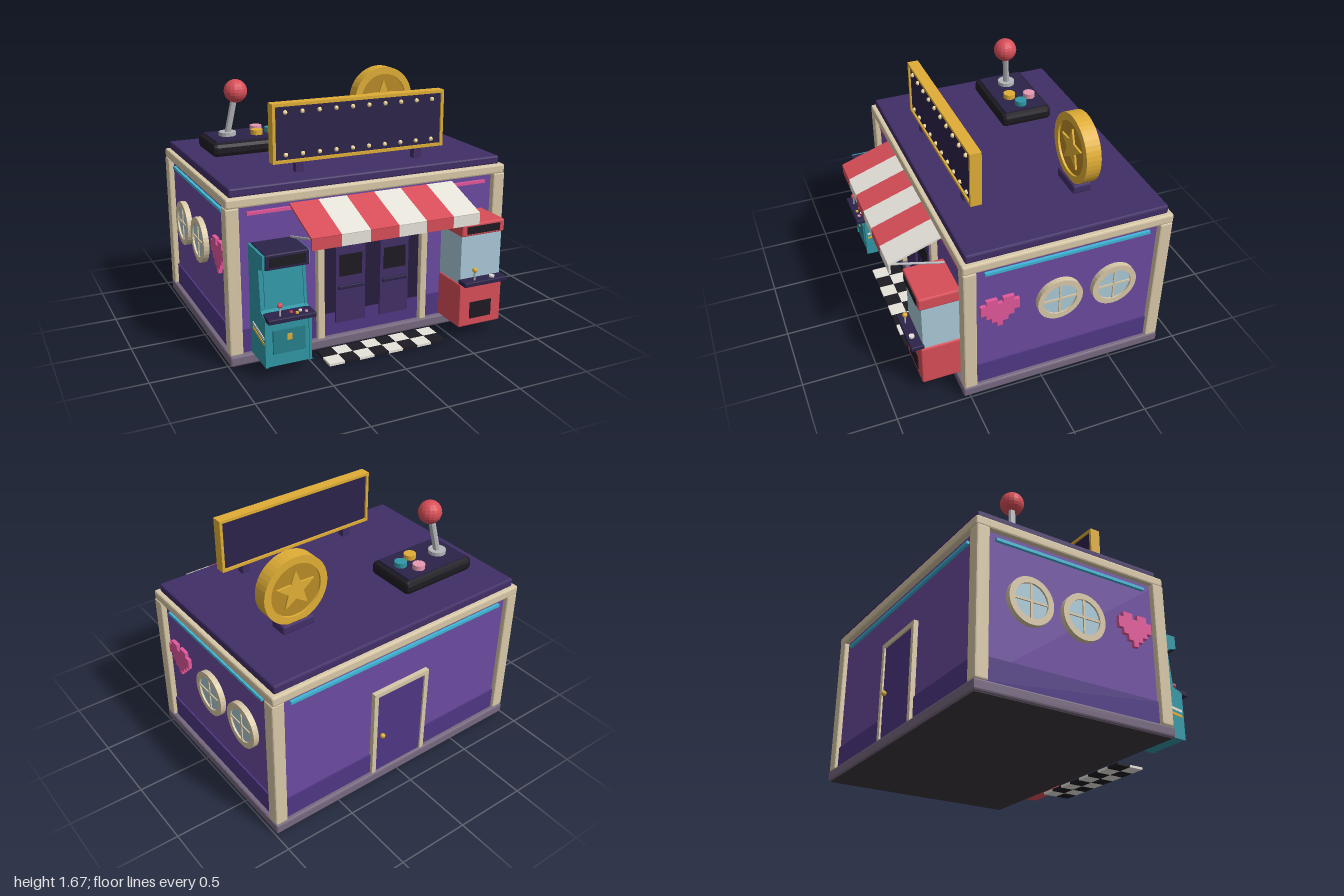
import * as THREE from 'three';
import { RoundedBoxGeometry } from 'three/addons/geometries/RoundedBoxGeometry.js';

const C = {
  wall: 0x6b4aa0, dado: 0x4f3784, roof: 0x412e66, navy: 0x2c2349, night: 0x271d3d, black: 0x1d1b22,
  cream: 0xd8c8a8, base: 0x76687f, under: 0x3c363f, red: 0xd84e58, white: 0xe6e3da, teal: 0x2f97a5,
  darkTeal: 0x27808c, glass: 0xa9c9d8, gold: 0xe0ae36, darkGold: 0xb98a25, pink: 0xe2589a,
  softPink: 0xe79ab2, cyan: 0x3fb6d6, steel: 0xb4b6ba, bulb: 0xf5dfa0,
};

const mats = {};
const mat = (c) => (mats[c] ??= new THREE.MeshStandardMaterial({ color: c, flatShading: true }));

function add(parent, name, geo, color, x = 0, y = 0, z = 0) {
  const m = new THREE.Mesh(geo, mat(color));
  m.name = name;
  m.position.set(x, y, z);
  parent.add(m);
  return m;
}

// Box given by its limits on each axis, with an optional chamfer
function box(parent, name, color, [x0, x1], [y0, y1], [z0, z1], bevel = 0) {
  const s = [x1 - x0, y1 - y0, z1 - z0];
  const geo = bevel ? new RoundedBoxGeometry(...s, 1, bevel) : new THREE.BoxGeometry(...s);
  return add(parent, name, geo, color, (x0 + x1) / 2, (y0 + y1) / 2, (z0 + z1) / 2);
}

function rod(parent, name, color, a, b, r) {
  const p = new THREE.Vector3(...a), q = new THREE.Vector3(...b), d = q.clone().sub(p);
  const m = add(parent, name, new THREE.CylinderGeometry(r, r, d.length(), 8), color);
  m.position.copy(p).add(q).multiplyScalar(0.5);
  m.quaternion.setFromUnitVectors(new THREE.Vector3(0, 1, 0), d.normalize());
}

const ball = (p, name, color, r, x, y, z, n = 8) =>
  add(p, name, new THREE.SphereGeometry(r, n, Math.ceil(n * 0.7)), color, x, y, z);
const puck = (p, name, color, r, h, x, y, z, n = 12) =>
  add(p, name, new THREE.CylinderGeometry(r, r, h, n), color, x, y, z);

function group(parent, name) {
  const g = new THREE.Group();
  g.name = name;
  parent.add(g);
  return g;
}

function ring(outer, inner, depth, n) {
  const s = new THREE.Shape().absarc(0, 0, outer, 0, Math.PI * 2);
  s.holes.push(new THREE.Path().absarc(0, 0, inner, 0, Math.PI * 2, true));
  return new THREE.ExtrudeGeometry(s, { depth, bevelEnabled: false, curveSegments: n }).translate(0, 0, -depth / 2);
}

function building(root) {
  const g = group(root, 'building');
  box(g, 'plinth', C.base, [-0.995, 0.995], [0.01, 0.08], [-0.87, 0.545], 0.012);
  box(g, 'underside', C.under, [-0.98, 0.98], [0.006, 0.03], [-0.855, 0.53]);
  box(g, 'walls', C.wall, [-0.955, 0.955], [0.08, 1.05], [-0.83, 0.5]);
  box(g, 'wallBand', C.dado, [-0.965, 0.965], [0.08, 0.235], [-0.84, 0.51]);
  for (const x of [-0.95, 0.95]) for (const z of [-0.82, 0.495])
    box(g, 'cornerPost', C.cream, [x - 0.044, x + 0.044], [0.08, 1.045], [z - 0.044, z + 0.044], 0.01);
  box(g, 'cornice', C.cream, [-0.99, 0.99], [1.04, 1.105], [-0.868, 0.54], 0.012);
  box(g, 'roof', C.roof, [-0.96, 0.96], [1.1, 1.16], [-0.84, 0.51], 0.012);
  // Neon tubes
  box(g, 'frontNeon', C.pink, [-0.85, 0.85], [0.983, 1.003], [0.5, 0.52]);
  box(g, 'backNeon', C.cyan, [-0.85, 0.85], [0.983, 1.003], [-0.85, -0.83]);
  for (const s of [-1, 1]) box(g, 'sideNeon', C.cyan, [s * 0.965 - 0.01, s * 0.965 + 0.01], [0.983, 1.003], [-0.72, 0.39]);
  // Front entrance
  box(g, 'doorway', C.night, [-0.35, 0.35], [0.235, 0.84], [0.49, 0.508]);
  for (const s of [-1, 1]) {
    box(g, 'doorPost', C.cream, [s * 0.375 - 0.024, s * 0.375 + 0.024], [0.08, 0.86], [0.49, 0.545], 0.006);
    const x = s * 0.16;
    box(g, 'swingDoor', C.roof, [x - 0.105, x + 0.105], [0.165, 0.72], [0.505, 0.526]);
    box(g, 'doorPane', C.black, [x - 0.08, x + 0.08], [0.488, 0.635], [0.52, 0.531]);
    box(g, 'pushBar', C.navy, [x - 0.092, x + 0.092], [0.4, 0.424], [0.52, 0.543], 0.004);
  }
  box(g, 'doorLintel', C.cream, [-0.4, 0.4], [0.84, 0.88], [0.49, 0.54], 0.006);
  // Back door
  box(g, 'backDoor', C.dado, [-0.2, 0.2], [0.08, 0.72], [-0.85, -0.82]);
  for (const s of [-1, 1]) box(g, 'backDoorJamb', C.cream, [s * 0.21 - 0.016, s * 0.21 + 0.016], [0.08, 0.75], [-0.862, -0.82]);
  box(g, 'backDoorHead', C.cream, [-0.194, 0.194], [0.718, 0.75], [-0.862, -0.82]);
  ball(g, 'backDoorKnob', C.gold, 0.018, 0.15, 0.38, -0.865);
}

// Pixel heart and round windows, built facing +z and turned to each side
function sideDecor(root, s) {
  const g = group(root, s > 0 ? 'leftSideDecor' : 'rightSideDecor');
  g.position.x = s * 0.96;
  g.rotation.y = s * Math.PI / 2;
  const rows = ['0110110', '1111111', '1111111', '0111110', '0011100', '0001000'], c = 0.037;
  rows.forEach((row, j) => {
    const a = row.indexOf('1'), parts = j ? [[a, 7 - a]] : [[1, 3], [4, 6]];
    for (const [p, q] of parts) {
      const x0 = -s * 0.293 + (p - 3.5) * c;
      box(g, 'heart', C.pink, [x0, x0 + (q - p) * c], [0.778 - (j + 1) * c, 0.778 - j * c], [-0.005, 0.02]);
    }
  });
  for (const z of [-0.11, -0.49]) {
    const w = group(g, 'roundWindow');
    w.position.set(-s * z, 0.645, 0.01);
    add(w, 'windowFrame', ring(0.155, 0.115, 0.045, 16), C.cream);
    puck(w, 'windowGlass', C.glass, 0.118, 0.02, 0, 0, 0, 16).rotation.x = Math.PI / 2;
    box(w, 'mullion', C.cream, [-0.115, 0.115], [-0.007, 0.007], [0, 0.018]);
    box(w, 'mullion', C.cream, [-0.007, 0.007], [-0.115, 0.115], [0, 0.018]);
  }
}

function awning(root) {
  const g = group(root, 'awning'), w = 1.16 / 6;
  const len = Math.hypot(0.345, 0.12), tilt = Math.atan2(0.12, 0.345);
  for (let i = 0; i < 6; i++) {
    const color = i % 2 ? C.white : C.red, x = -0.58 + (i + 0.5) * w;
    add(g, 'awningStripe', new THREE.BoxGeometry(w, 0.014, len), color, x, 0.965, 0.7).rotation.x = tilt;
    box(g, 'valance', color, [x - w / 2, x + w / 2], [0.835, 0.907], [0.862, 0.875]);
  }
  for (const x of [-0.565, 0.565]) rod(g, 'awningBrace', C.steel, [x, 0.9, 0.86], [x, 0.805, 0.51], 0.008);
}

function videoCabinet(root) {
  const g = group(root, 'videoCabinet');
  const side = new THREE.Shape([[0.5, 0.08], [0.77, 0.08], [0.77, 0.4], [0.7, 0.43], [0.675, 0.69], [0.75, 0.71], [0.75, 0.8], [0.5, 0.8]]
    .map(([z, y]) => new THREE.Vector2(-z, y)).reverse());
  const slab = (name, color, x0, width, k = 1) => {
    const geo = new THREE.ExtrudeGeometry(side, { depth: width, bevelEnabled: false }).rotateY(Math.PI / 2);
    add(g, name, geo, color, x0, 0, -k);
  };
  slab('cabinetSide', C.teal, -0.845, 0.018, 0);
  slab('cabinetSide', C.teal, -0.558, 0.018, 0);
  slab('cabinetBody', C.teal, -0.828, 0.271, 0.008);
  box(g, 'marquee', C.navy, [-0.83, -0.545], [0.705, 0.806], [0.5, 0.757], 0.008);
  box(g, 'marqueePanel', C.black, [-0.805, -0.57], [0.725, 0.785], [0.74, 0.763]);
  add(g, 'screen', new THREE.BoxGeometry(0.25, 0.24, 0.012), C.teal, -0.69, 0.565, 0.683).rotation.x = -0.096;
  box(g, 'controlDeck', C.navy, [-0.842, -0.532], [0.388, 0.42], [0.69, 0.828], 0.006);
  rod(g, 'stick', C.steel, [-0.755, 0.41, 0.79], [-0.755, 0.48, 0.79], 0.006);
  ball(g, 'stickBall', C.red, 0.018, -0.755, 0.488, 0.79);
  [C.red, C.gold, C.white, C.softPink].forEach((c, i) => puck(g, 'button', c, 0.011, 0.014, -0.675 + i * 0.03, 0.423, 0.77 + (i % 2) * 0.025, 8));
  box(g, 'coinDoor', C.darkTeal, [-0.795, -0.585], [0.165, 0.32], [0.75, 0.776]);
  box(g, 'coinSlot', C.gold, [-0.706, -0.675], [0.25, 0.29], [0.77, 0.782]);
  // Slanted trim stripes on both flanks
  for (const x of [-0.846, -0.539]) [C.gold, C.white].forEach((c, i) => {
    add(g, 'flankStripe', new THREE.BoxGeometry(0.006, 0.018, 0.2), c, x, 0.25 + i * 0.035, 0.655).rotation.x = 0.15;
  });
}

function clawMachine(root) {
  const g = group(root, 'clawMachine');
  box(g, 'lowerCase', C.red, [0.52, 0.845], [0.08, 0.385], [0.5, 0.775], 0.01);
  box(g, 'glassCase', C.glass, [0.53, 0.835], [0.38, 0.725], [0.5, 0.757]);
  box(g, 'topCase', C.red, [0.52, 0.845], [0.718, 0.805], [0.5, 0.775], 0.01);
  box(g, 'marqueePanel', C.black, [0.557, 0.808], [0.735, 0.785], [0.76, 0.78]);
  box(g, 'controlShelf', C.navy, [0.52, 0.845], [0.388, 0.42], [0.75, 0.836], 0.006);
  rod(g, 'stick', C.steel, [0.61, 0.41, 0.803], [0.61, 0.485, 0.803], 0.006);
  ball(g, 'stickBall', C.gold, 0.018, 0.61, 0.49, 0.803);
  puck(g, 'button', C.white, 0.018, 0.016, 0.745, 0.426, 0.803);
  box(g, 'prizeChute', C.black, [0.6, 0.765], [0.135, 0.25], [0.76, 0.782]);
}

function roofSign(root) {
  const g = group(root, 'roofSign');
  box(g, 'signCore', C.navy, [-0.598, 0.598], [1.245, 1.595], [0.282, 0.333]);
  for (const s of [-1, 1]) {
    box(g, 'signFrame', C.gold, [-0.61, 0.61], [1.42 + s * 0.18 - 0.01, 1.42 + s * 0.18 + 0.01], [0.27, 0.345]);
    box(g, 'signFrame', C.gold, [s * 0.6 - 0.01, s * 0.6 + 0.01], [1.23, 1.61], [0.27, 0.345]);
    box(g, 'signLeg', C.roof, [s * 0.425 - 0.028, s * 0.425 + 0.028], [1.15, 1.24], [0.28, 0.333]);
    for (let i = 0; i < 10; i++) ball(g, 'bulb', C.bulb, 0.015, -0.522 + i * 0.116, 1.417 + s * 0.135, 0.338);
  }
}

function giantJoystick(root) {
  const g = group(root, 'giantJoystick');
  box(g, 'joystickBase', C.black, [-0.82, -0.245], [1.16, 1.255], [-0.59, -0.22], 0.03);
  box(g, 'joystickPlate', C.navy, [-0.787, -0.28], [1.24, 1.266], [-0.56, -0.252]);
  puck(g, 'stickCollar', C.steel, 0.06, 0.03, -0.66, 1.277, -0.41, 14);
  rod(g, 'stickShaft', C.steel, [-0.66, 1.27, -0.41], [-0.605, 1.56, -0.38], 0.023);
  ball(g, 'stickKnob', C.red, 0.08, -0.602, 1.575, -0.375, 16);
  for (const [c, x, z] of [[C.softPink, -0.425, -0.49], [C.cyan, -0.35, -0.395], [C.gold, -0.465, -0.355]])
    puck(g, 'bigButton', c === C.cyan ? C.teal : c, 0.042, 0.04, x, 1.28, z, 14);
}

function giantCoin(root) {
  const g = group(root, 'giantCoin');
  box(g, 'coinStand', C.roof, [0.4, 0.635], [1.155, 1.218], [-0.465, -0.335], 0.012);
  const coin = group(g, 'coin');
  coin.position.set(0.525, 1.437, -0.402);
  add(coin, 'coinRim', ring(0.23, 0.18, 0.1, 22), C.gold);
  puck(coin, 'coinFace', C.darkGold, 0.185, 0.07, 0, 0, 0, 22).rotation.x = Math.PI / 2;
  const star = new THREE.Shape(Array.from({ length: 10 }, (_, i) => {
    const r = i % 2 ? 0.058 : 0.14, a = Math.PI / 2 + i * Math.PI / 5;
    return new THREE.Vector2(r * Math.cos(a), r * Math.sin(a));
  }));
  add(coin, 'coinStar', new THREE.ExtrudeGeometry(star, { depth: 0.096, bevelEnabled: false }), C.gold, 0, 0, -0.048);
}

function doorMat(root) {
  const g = group(root, 'checkeredMat'), t = 0.105;
  for (let i = 0; i < 8; i++) for (let j = 0; j < 2; j++) {
    const x = -0.42 + i * t, z = 0.56 + j * t;
    box(g, 'matTile', (i + j) % 2 ? C.white : C.black, [x, x + t], [0, 0.016], [z, z + t]);
  }
}

export function createModel() {
  const root = new THREE.Group();
  root.name = 'arcadeHall';
  building(root);
  for (const s of [-1, 1]) sideDecor(root, s);
  for (const part of [awning, videoCabinet, clawMachine, roofSign, giantJoystick, giantCoin, doorMat]) part(root);
  return root;
}
